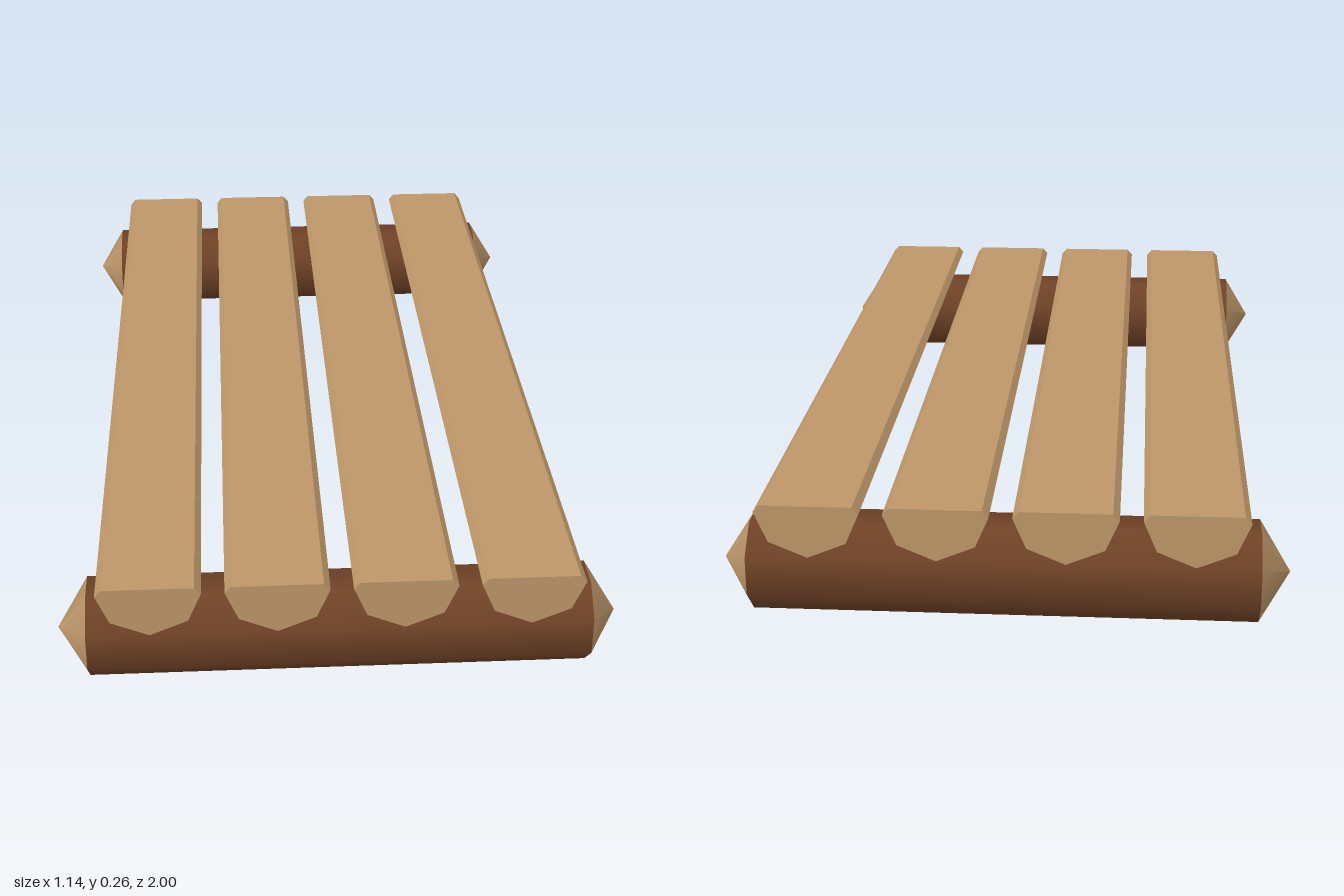
import * as THREE from 'three';

const cutWood = new THREE.MeshStandardMaterial({ name: 'cutWood', color: 0xbd9668 });
const bark = new THREE.MeshStandardMaterial({ name: 'bark', color: 0x6f4226 });

function addMesh(parent, name, geometry, material) {
  const mesh = new THREE.Mesh(geometry, material);
  mesh.name = name;
  parent.add(mesh);
  return mesh;
}

// Sweeps an open profile [x, y] from the back (-z) to the front (+z).
// Profiles run clockwise seen from the front, so the faces point outwards.
function sweep(profile, length, smooth) {
  const positions = [];
  const index = [];
  profile.forEach(([x, y], i) => {
    positions.push(x, y, -length / 2, x, y, length / 2);
    if (i > 0) {
      const a = 2 * i - 2;
      index.push(a, a + 1, a + 3, a, a + 3, a + 2);
    }
  });
  let geometry = new THREE.BufferGeometry();
  geometry.setAttribute('position', new THREE.Float32BufferAttribute(positions, 3));
  geometry.setIndex(index);
  if (!smooth) geometry = geometry.toNonIndexed();
  geometry.computeVertexNormals();
  return geometry;
}

// Half-log slat: sawn top with small bevels, rounded bark underneath
function createSlat() {
  const slat = new THREE.Group();
  slat.name = 'slat';
  const top = [[-0.104, 0.242], [-0.091, 0.256], [0.091, 0.256], [0.104, 0.242]];
  const under = [[0.104, 0.242], [0.077, 0.179], [0, 0.147], [-0.077, 0.179], [-0.104, 0.242]];
  addMesh(slat, 'slatTop', sweep(top, 2, false), cutWood);
  addMesh(slat, 'slatBark', sweep(under, 2, true), bark);

  const outline = [...top, ...under.slice(1, -1)].map(([x, y]) => new THREE.Vector2(x, y));
  const endGeometry = new THREE.ShapeGeometry(new THREE.Shape(outline));
  addMesh(slat, 'slatFrontEnd', endGeometry, cutWood).position.z = 1;
  const back = addMesh(slat, 'slatBackEnd', endGeometry, cutWood);
  back.position.z = -1;
  back.rotation.y = Math.PI;
  return slat;
}

// Octagonal crosswise log with pointed, cut ends
function createLog() {
  const log = new THREE.Group();
  log.name = 'supportLog';
  const radius = 0.095 / Math.cos(Math.PI / 8);
  const body = new THREE.CylinderGeometry(radius, radius, 1.02, 8, 1, true, Math.PI / 8);
  addMesh(log, 'logBark', body, bark).rotation.z = Math.PI / 2;

  const point = new THREE.ConeGeometry(radius, 0.062, 8, 1, true, Math.PI / 8);
  for (const side of [-1, 1]) {
    const end = addMesh(log, 'logEnd', point, cutWood);
    end.position.x = side * 0.541;
    end.rotation.z = -side * Math.PI / 2;
  }
  return log;
}

export function createModel() {
  const model = new THREE.Group();
  model.name = 'logPallet';

  for (let i = 0; i < 4; i++) {
    const slat = createSlat();
    slat.position.x = (i - 1.5) * 0.254;
    model.add(slat);
  }
  for (const side of [-1, 1]) {
    const log = createLog();
    log.position.set(0, 0.095, side * 0.89);
    model.add(log);
  }
  return model;
}
